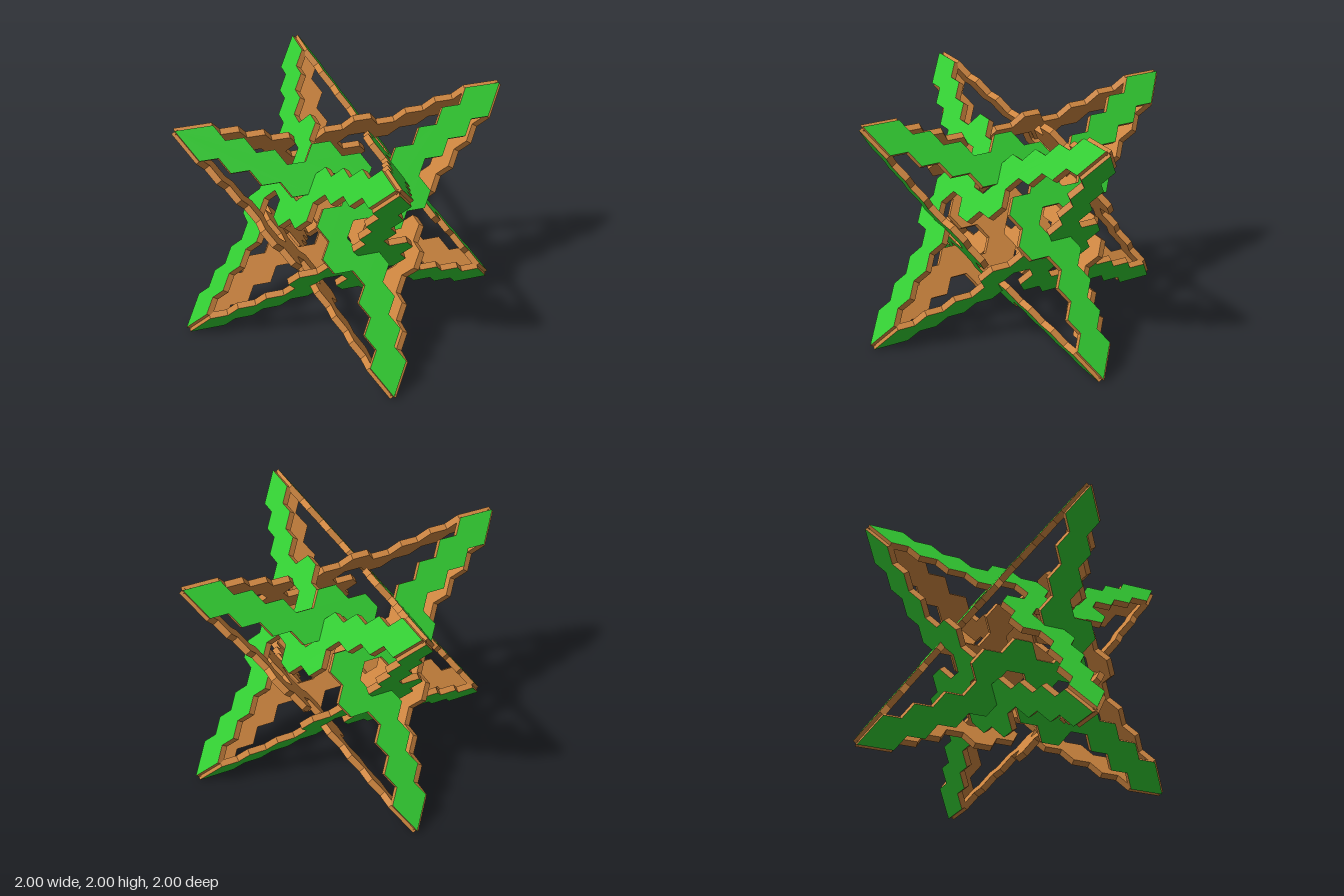
import * as THREE from 'three';

const REACH = 1.035;               // every plate lies in a plane |x|+|y|+|z| = REACH of its octant
const STEP = (3 - REACH) / 18;     // pitch of the triangular lattice, 18 steps per side
const THICK = 0.055;

// One third of the plate outline in lattice coordinates (each triple sums to 18)
const THIRD = [
  // point of an arm, and its notched edge running inwards
  [18, 0, 0], [16, 2, 0], [15, 2, 1], [14, 3, 1], [13, 3, 2], [12, 4, 2], [11, 4, 3], [10, 5, 3],
  // small tooth, link to the hub, hub corner
  [10, 6, 2], [9, 7, 2], [8, 7, 3], [7, 8, 3], [6, 8, 4], [6, 7, 5], [5, 7, 6], [4, 8, 6], [4, 9, 5],
  // notched edge of the next arm running outwards
  [5, 9, 4], [5, 10, 3], [4, 11, 3], [4, 12, 2], [3, 13, 2], [3, 14, 1], [2, 15, 1], [2, 16, 0],
];

export function createModel() {
  const model = new THREE.Group();
  model.name = 'interlockedStar';

  const green = new THREE.MeshStandardMaterial({ color: 0x32cd32 });
  const brown = new THREE.MeshStandardMaterial({ color: 0xcd853f });

  // Axes of the plate's plane
  const e1 = new THREE.Vector3(1, 1, 0).normalize();
  const n = new THREE.Vector3(-1, 1, 1).normalize();
  const e2 = new THREE.Vector3().crossVectors(n, e1);

  // Full outline: the third repeated by threefold rotation
  const outline = [];
  for (let k = 0; k < 3; k++) {
    for (const t of THIRD) {
      const [a, b, g] = [0, 1, 2].map(i => 1 - STEP * t[(i - k + 3) % 3]);
      const p = new THREE.Vector3(-a, b, g);
      outline.push(new THREE.Vector2(p.dot(e1), p.dot(e2)));
    }
  }
  const shape = new THREE.Shape(outline);

  const place = new THREE.Matrix4().makeBasis(e1, e2, n)
    .setPosition(n.clone().multiplyScalar(REACH / Math.sqrt(3)));
  const bodyGeometry = new THREE.ExtrudeGeometry(shape, { depth: THICK, bevelEnabled: false })
    .translate(0, 0, -THICK).applyMatrix4(place);
  const faceGeometry = new THREE.ShapeGeometry(shape)
    .translate(0, 0, 0.0015).applyMatrix4(place);

  // Eight plates: four around the upper half, four around the lower half
  for (let half = 0; half < 2; half++) {
    for (let q = 0; q < 4; q++) {
      const plate = new THREE.Group();
      plate.name = (half ? 'lowerPlate' : 'upperPlate') + (q + 1);
      const body = new THREE.Mesh(bodyGeometry, brown);
      body.name = 'plateBody';
      const face = new THREE.Mesh(faceGeometry, green);
      face.name = 'plateOuterFace';
      plate.add(body, face);
      plate.rotation.set(half * Math.PI, q * Math.PI / 2, 0);
      plate.position.y = 1;
      model.add(plate);
    }
  }
  return model;
}
